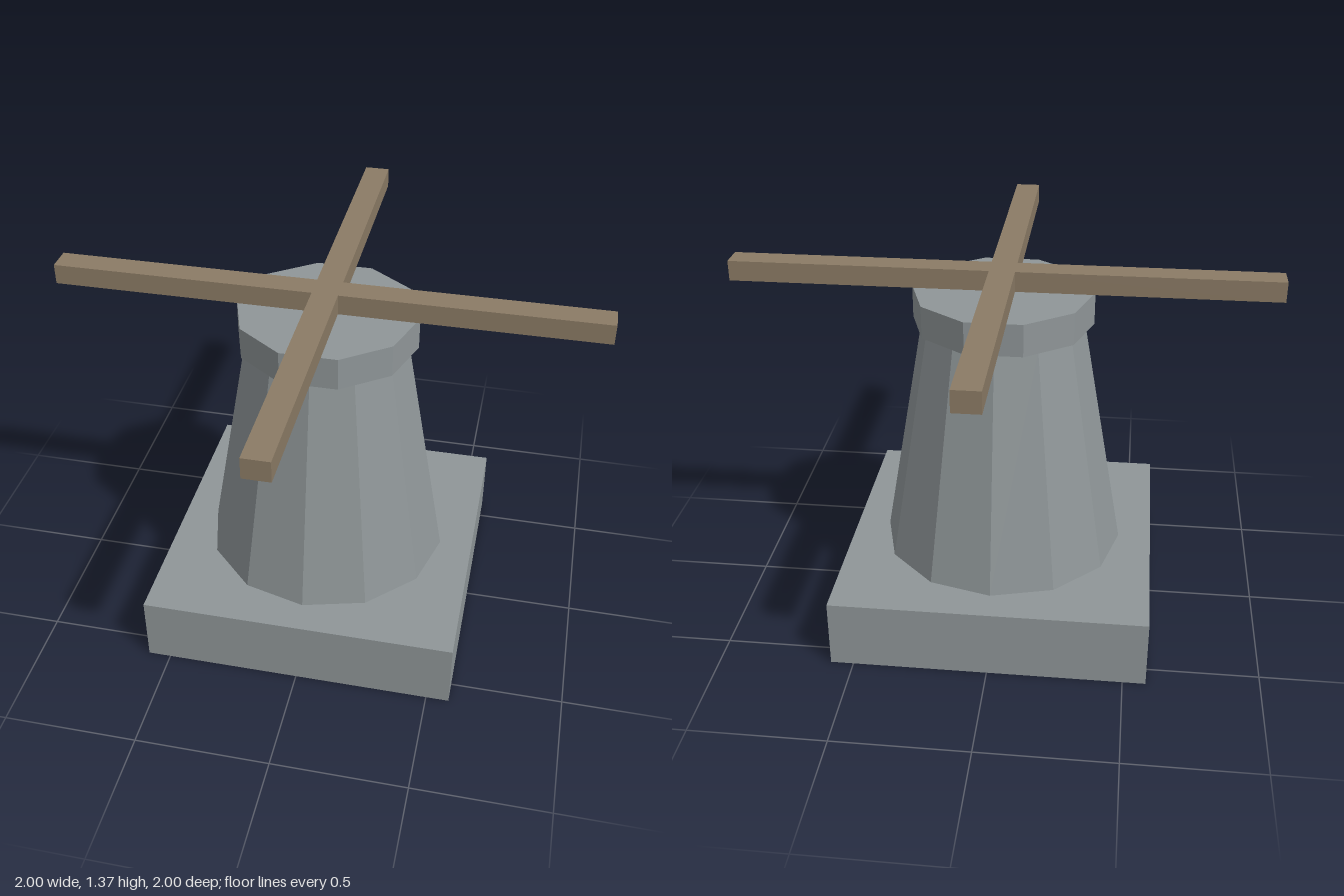
import * as THREE from 'three';

const stone = new THREE.MeshStandardMaterial({ name: 'greyStone', color: 0x8f9698, flatShading: true });
const wood = new THREE.MeshStandardMaterial({ name: 'brownWood', color: 0x8b7b65, flatShading: true });

function add(group, name, geometry, material, y) {
  const mesh = new THREE.Mesh(geometry, material);
  mesh.name = name;
  mesh.position.y = y;
  group.add(mesh);
  return mesh;
}

export function createModel() {
  const model = new THREE.Group();
  model.name = 'windmill';

  // Square plinth
  add(model, 'base', new THREE.BoxGeometry(1.17, 0.26, 1.165), stone, 0.13);

  // Tapered twelve-sided tower
  add(model, 'tower', new THREE.CylinderGeometry(0.3, 0.46, 0.905, 12), stone, 0.7125);

  // Ten-sided cap with corners on the x axis
  const cap = add(model, 'cap', new THREE.CylinderGeometry(0.333, 0.333, 0.12, 10), stone, 1.225);
  cap.rotation.y = Math.PI / 2;

  // Four sail arms as one flat cross, hovering just above the cap
  const w = 0.047;
  const cross = new THREE.Shape();
  for (let i = 0; i < 4; i++) {
    const c = Math.round(Math.cos(i * Math.PI / 2));
    const s = Math.round(Math.sin(i * Math.PI / 2));
    for (const [x, y] of [[w, -w], [1, -w], [1, w]]) {
      const px = x * c - y * s;
      const py = x * s + y * c;
      if (i === 0 && x === w) cross.moveTo(px, py);
      else cross.lineTo(px, py);
    }
  }
  cross.closePath();
  const arms = new THREE.ExtrudeGeometry(cross, { depth: 0.075, bevelEnabled: false });
  arms.rotateX(-Math.PI / 2);
  add(model, 'sailArms', arms, wood, 1.295);

  return model;
}
